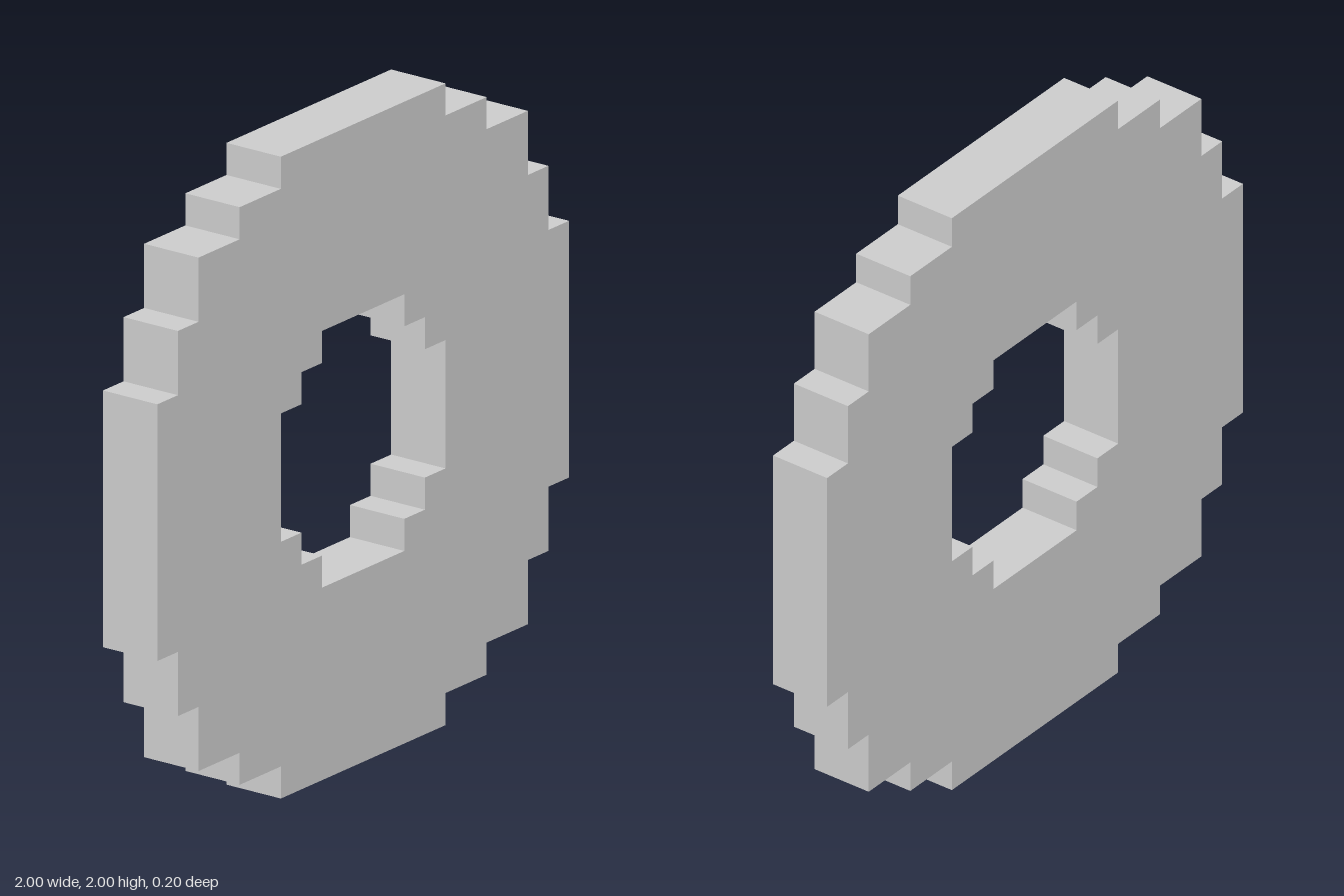
import * as THREE from 'three';

// Stepped corner of one quadrant, counter-clockwise from the +x side to the top
const OUTER = [[1, 0.4], [0.9, 0.4], [0.9, 0.6], [0.8, 0.6], [0.8, 0.8], [0.6, 0.8], [0.6, 0.9], [0.4, 0.9], [0.4, 1]];
const INNER = [[0.4, 0.2], [0.3, 0.2], [0.3, 0.3], [0.2, 0.3], [0.2, 0.4]];

// Repeat a quadrant's corners by quarter turns into a closed loop
function steppedLoop(quadrant) {
  const points = [];
  let corner = quadrant;
  for (let i = 0; i < 4; i++) {
    points.push(...corner.map(([x, y]) => new THREE.Vector2(x, y)));
    corner = corner.map(([x, y]) => [-y, x]);
  }
  return points;
}

export function createModel() {
  const group = new THREE.Group();
  group.name = 'steppedRing';

  // Flat disc with a stepped rim and a stepped centre hole
  const shape = new THREE.Shape(steppedLoop(OUTER));
  shape.holes.push(new THREE.Path(steppedLoop(INNER)));
  const depth = 0.2;
  const geometry = new THREE.ExtrudeGeometry(shape, { depth, bevelEnabled: false });
  geometry.translate(0, 1, -depth / 2);

  const ring = new THREE.Mesh(geometry, new THREE.MeshStandardMaterial({ color: 0xcccccc, flatShading: true }));
  ring.name = 'ring';
  group.add(ring);
  return group;
}
